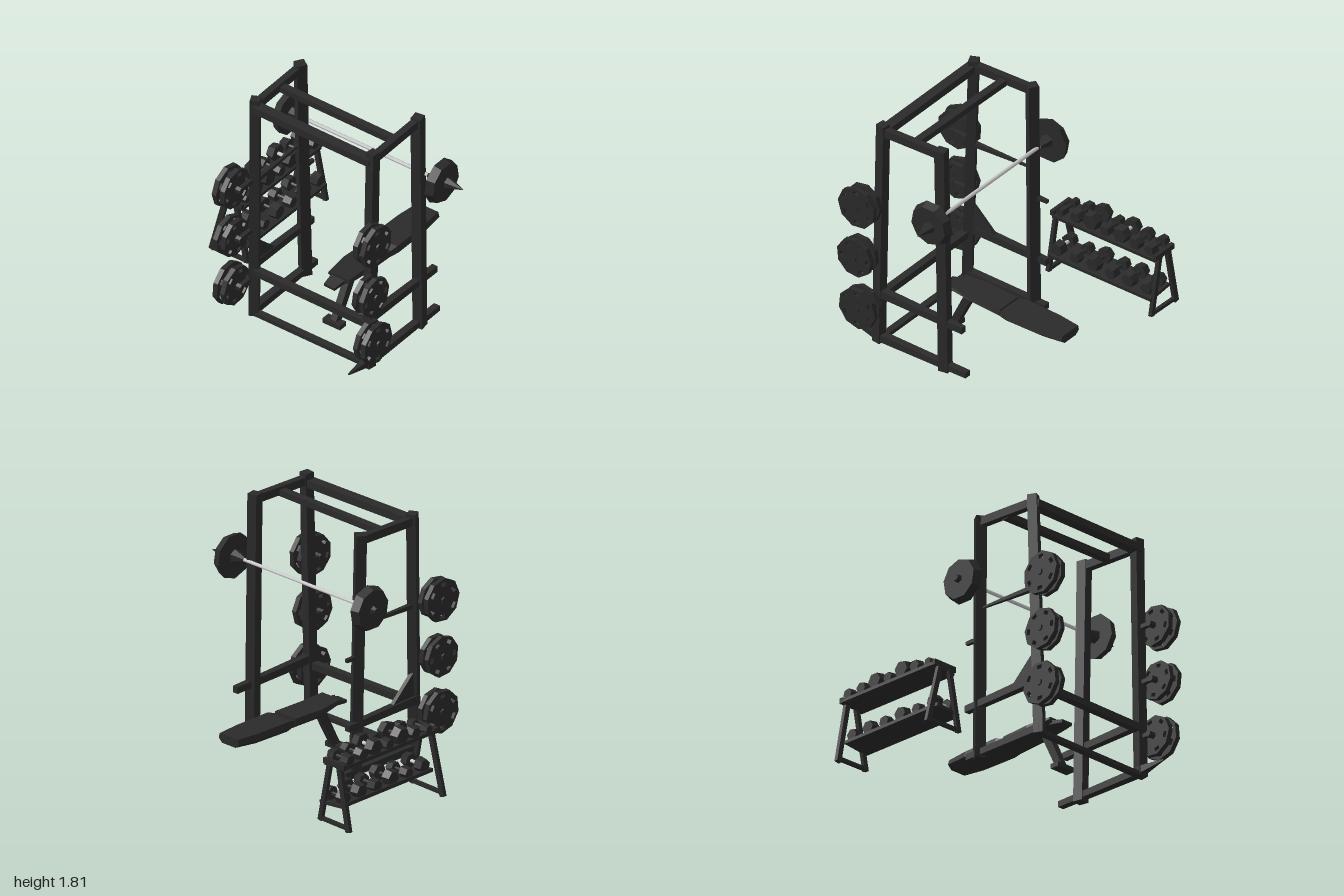
import * as THREE from 'three';

const blackSteel = new THREE.MeshStandardMaterial({ color: 0x2a2a2a, flatShading: true });
blackSteel.name = 'black steel';
const bareSteel = new THREE.MeshStandardMaterial({ color: 0xcccccc });
bareSteel.name = 'bare steel';

const V = (x, y, z) => new THREE.Vector3(x, y, z);

function add(parent, name, geometry, material = blackSteel) {
  const mesh = new THREE.Mesh(geometry, material);
  mesh.name = name;
  parent.add(mesh);
  return mesh;
}

// Box beam between two points; endScale narrows the far end
function beam(parent, name, a, b, w, h = w, endScale = 1) {
  const geo = new THREE.BoxGeometry(w, h, a.distanceTo(b));
  const p = geo.attributes.position;
  for (let i = 0; i < p.count; i++) {
    if (p.getZ(i) > 0) p.setXY(i, p.getX(i) * endScale, p.getY(i) * endScale);
  }
  geo.computeVertexNormals();
  const mesh = add(parent, name, geo);
  mesh.position.copy(a).add(b).multiplyScalar(0.5);
  mesh.lookAt(b);
  return mesh;
}

// Rod along z
function rod(parent, name, x, y, z0, z1, r0, r1 = r0, material = blackSteel) {
  const geo = new THREE.CylinderGeometry(r1, r0, Math.abs(z1 - z0), 6);
  geo.rotateX(z1 > z0 ? Math.PI / 2 : -Math.PI / 2);
  const mesh = add(parent, name, geo, material);
  mesh.position.set(x, y, (z0 + z1) / 2);
  return mesh;
}

// Nine-sided plate with grip holes near its rim
function gripPlate(radius, depth, turn) {
  const shape = new THREE.Shape();
  for (let i = 0; i < 9; i++) {
    const a = turn + i / 9 * Math.PI * 2;
    shape[i ? 'lineTo' : 'moveTo'](Math.cos(a) * radius, Math.sin(a) * radius);
  }
  for (let i = 0; i < 6; i++) {
    const a = turn + (i + 0.25) / 6 * Math.PI * 2;
    const hole = new THREE.Path();
    [[-0.2, 0.66], [0.2, 0.66], [0.17, 0.84], [-0.17, 0.84]].forEach(([da, k], j) => {
      hole[j ? 'lineTo' : 'moveTo'](Math.cos(a + da) * radius * k, Math.sin(a + da) * radius * k);
    });
    shape.holes.push(hole);
  }
  const geo = new THREE.ExtrudeGeometry(shape, { depth, bevelEnabled: false });
  geo.translate(0, 0, -depth / 2);
  return geo;
}

function buildFrame() {
  const g = new THREE.Group();
  g.name = 'powerRack';
  for (const z of [0.66, -0.335]) {
    const front = z > 0;
    const low = front ? 0.655 : -0.315; // the far side leans slightly outward
    beam(g, 'rearPost', V(-0.5, 0.03, low), V(-0.46, 1.81, z), 0.068);
    beam(g, 'frontPost', V(0.07, 0.03, low), V(0.04, 1.81, z), 0.074);
    beam(g, 'topSideRail', V(-0.46, 1.755, z), V(0.04, 1.77, z), 0.05, 0.06);
    beam(g, 'middleSideRail', V(-0.5, 0.435, z), V(front ? 0.23 : 0.17, 0.42, z), 0.055, 0.06, 0.8);
    beam(g, 'baseRail', V(-0.52, 0.07, low), V(front ? 0.26 : 0.18, 0.07, low), 0.06, 0.055, 0.8);
  }
  beam(g, 'baseRailTip', V(-0.5, 0.07, 0.65), V(-0.72, 0.085, 0.65), 0.06, 0.06, 0.15);
  // Cross rails between the two sides
  beam(g, 'topRearCrossRail', V(-0.47, 1.745, -0.33), V(-0.47, 1.735, 0.66), 0.075, 0.055);
  beam(g, 'topMiddleCrossRail', V(-0.19, 1.75, -0.33), V(-0.2, 1.75, 0.66), 0.055, 0.045);
  beam(g, 'middleRearCrossRail', V(-0.5, 0.395, -0.33), V(-0.5, 0.385, 0.66), 0.055, 0.05);
  beam(g, 'baseCrossRail', V(-0.5, 0.045, -0.33), V(-0.5, 0.04, 0.66), 0.05, 0.03);
  // Far side fittings
  beam(g, 'safetyBar', V(-0.46, 1.125, -0.33), V(0.03, 1.135, -0.33), 0.035, 0.035, 0.4);
  beam(g, 'barHook', V(0.06, 0.915, -0.33), V(0.175, 0.915, -0.33), 0.03, 0.03, 0.8);
  const tri = new THREE.Shape([[-0.48, 0.43], [-0.25, 0.44], [-0.465, 0.64]].map(p => new THREE.Vector2(...p)));
  const gusset = add(g, 'gusset', new THREE.ExtrudeGeometry(tri, { depth: 0.03, bevelEnabled: false }));
  gusset.position.z = -0.345;
  return g;
}

function buildStoredPlates() {
  const g = new THREE.Group();
  g.name = 'storedPlates';
  // x at the front side, x at the far side, height, radius
  const spots = [[-0.585, -0.64, 1.145, 0.157], [-0.605, -0.64, 0.73, 0.148], [-0.58, -0.635, 0.325, 0.157]];
  spots.forEach(([xFront, xFar, y, r], i) => {
    for (const [x, z0, z1, post] of [[xFront, 0.712, 0.778, 0.66], [xFar, -0.373, -0.433, -0.335]]) {
      const out = Math.sign(z0);
      [z0, z1].forEach((z, k) => {
        const plate = add(g, 'storedPlate', gripPlate(r * (k ? 1 : 0.95), 0.036, i * 0.5 + k * 0.3));
        plate.position.set(x, y, z);
      });
      beam(g, 'pegBracket', V(-0.48, y, post), V(x, y, post), 0.03, 0.03);
      rod(g, 'platePeg', x, y, post - out * 0.02, z1 + out * 0.03, 0.025);
    }
  });
  return g;
}

function buildBarbell() {
  const g = new THREE.Group();
  g.name = 'barbell';
  const x = 0.085, y = 1.315;
  rod(g, 'bar', x, y, -0.36, 0.72, 0.014, 0.014, bareSteel);
  for (const [z, side] of [[0.835, 1], [-0.47, -1]]) {
    // Domed plate with a collar on its inner face
    const geo = new THREE.CylinderGeometry(0.145, 0.165, 0.06, 9);
    geo.rotateX(side * Math.PI / 2);
    add(g, 'barbellPlate', geo).position.set(x, y, z);
    rod(g, 'innerCollar', x, y, z - side * 0.02, z - side * 0.12, 0.055, 0.018);
  }
  rod(g, 'sleeveTip', x + 0.015, y - 0.005, 0.86, 1.0, 0.045, 0.002);
  rod(g, 'sleeveEnd', x, y, -0.49, -0.53, 0.035, 0.02);
  return g;
}

function buildBench() {
  const g = new THREE.Group();
  g.name = 'bench';
  // Seat and back pads lofted from chamfered sections: x, z centre, width, bottom, top
  const pad = (name, sections) => {
    const pos = [], idx = [];
    for (const [x, zc, w, lo, hi] of sections) {
      const h = w / 2, c = (hi - lo) * 0.45;
      for (const [z, y] of [[-h * 0.65, lo], [h * 0.65, lo], [h, lo + c], [h * 0.9, hi], [-h * 0.9, hi], [-h, lo + c]]) pos.push(x, y, zc + z);
    }
    for (let s = 0; s < sections.length - 1; s++) {
      for (let i = 0; i < 6; i++) {
        const a = s * 6 + i, b = s * 6 + (i + 1) % 6;
        idx.push(a, a + 6, b, b, a + 6, b + 6);
      }
    }
    const e = (sections.length - 1) * 6;
    for (let i = 1; i < 5; i++) idx.push(0, i, i + 1, e, e + i + 1, e + i);
    const geo = new THREE.BufferGeometry();
    geo.setAttribute('position', new THREE.Float32BufferAttribute(pos, 3));
    geo.setIndex(idx);
    geo.computeVertexNormals();
    add(g, name, geo);
  };
  pad('seatPad', [[-0.2, 0.175, 0.19, 0.35, 0.39], [0.0, 0.165, 0.22, 0.315, 0.385], [0.24, 0.18, 0.21, 0.31, 0.385]]);
  pad('backPad', [[0.24, 0.18, 0.2, 0.31, 0.37], [0.3, 0.18, 0.24, 0.305, 0.39], [0.6, 0.185, 0.23, 0.31, 0.39], [0.775, 0.19, 0.19, 0.325, 0.39]]);
  beam(g, 'benchLeg', V(-0.08, 0.33, 0.18), V(-0.23, 0.03, 0.17), 0.055, 0.06, 0.9);
  beam(g, 'benchFoot', V(-0.24, 0.02, 0.09), V(-0.24, 0.02, 0.24), 0.07, 0.035);
  beam(g, 'benchHandle', V(-0.18, 0.36, 0.165), V(-0.29, 0.34, 0.16), 0.12, 0.03, 0.75);
  return g;
}

function buildDumbbellRack() {
  const g = new THREE.Group();
  g.name = 'dumbbellRack';
  // A-shaped ends
  for (const [x, back] of [[-0.095, -0.98], [0.785, -0.95]]) {
    beam(g, 'frontLeg', V(x, 0.5, -0.775), V(x, 0.05, -0.685), 0.028, 0.035);
    beam(g, 'backLeg', V(x, 0.5, -0.86), V(x, 0.035, back), 0.028, 0.04);
    beam(g, 'legTie', V(x, 0.065, -0.69), V(x, 0.06, back), 0.025, 0.025);
    beam(g, 'topTie', V(x, 0.5, -0.72), V(x, 0.5, -0.92), 0.028, 0.04);
  }
  // Two trays, each with a row of dumbbells lying front to back; one handle per row is bare
  const rows = [
    { y: 0.485, z: -0.82, depth: 0.2, bare: 4, sizes: [0.036, 0.05, 0.07, 0.045, 0.066, 0.05, 0.046] },
    { y: 0.19, z: -0.78, depth: 0.21, bare: 0, sizes: [0.055, 0.046, 0.06, 0.05, 0.058, 0.052] },
  ];
  for (const { y, z, depth, bare, sizes } of rows) {
    const tray = add(g, 'tray', new THREE.BoxGeometry(0.88, 0.025, depth));
    tray.position.set(0.345, y, z);
    tray.rotation.x = 0.1;
    sizes.forEach((r, i) => {
      const x = -0.03 + i * 0.76 / (sizes.length - 1);
      const yc = y + r * 0.87 + 0.008;
      for (const dz of [-0.065, 0.065]) {
        const geo = new THREE.CylinderGeometry(r * 0.85, r, 0.06, 6);
        geo.rotateX(Math.PI / 2 * Math.sign(dz));
        const head = add(g, 'dumbbellHead', geo);
        head.position.set(x, yc, z + dz);
        head.rotation.z = Math.PI / 6 + (i % 3 - 1) * 0.2;
      }
      rod(g, 'dumbbellHandle', x, yc, z - 0.06, z + 0.06, 0.014, 0.014, i === bare ? bareSteel : blackSteel);
    });
  }
  return g;
}

export function createModel() {
  const model = new THREE.Group();
  model.name = 'homeGym';
  model.add(buildFrame(), buildStoredPlates(), buildBarbell(), buildBench(), buildDumbbellRack());
  return model;
}
